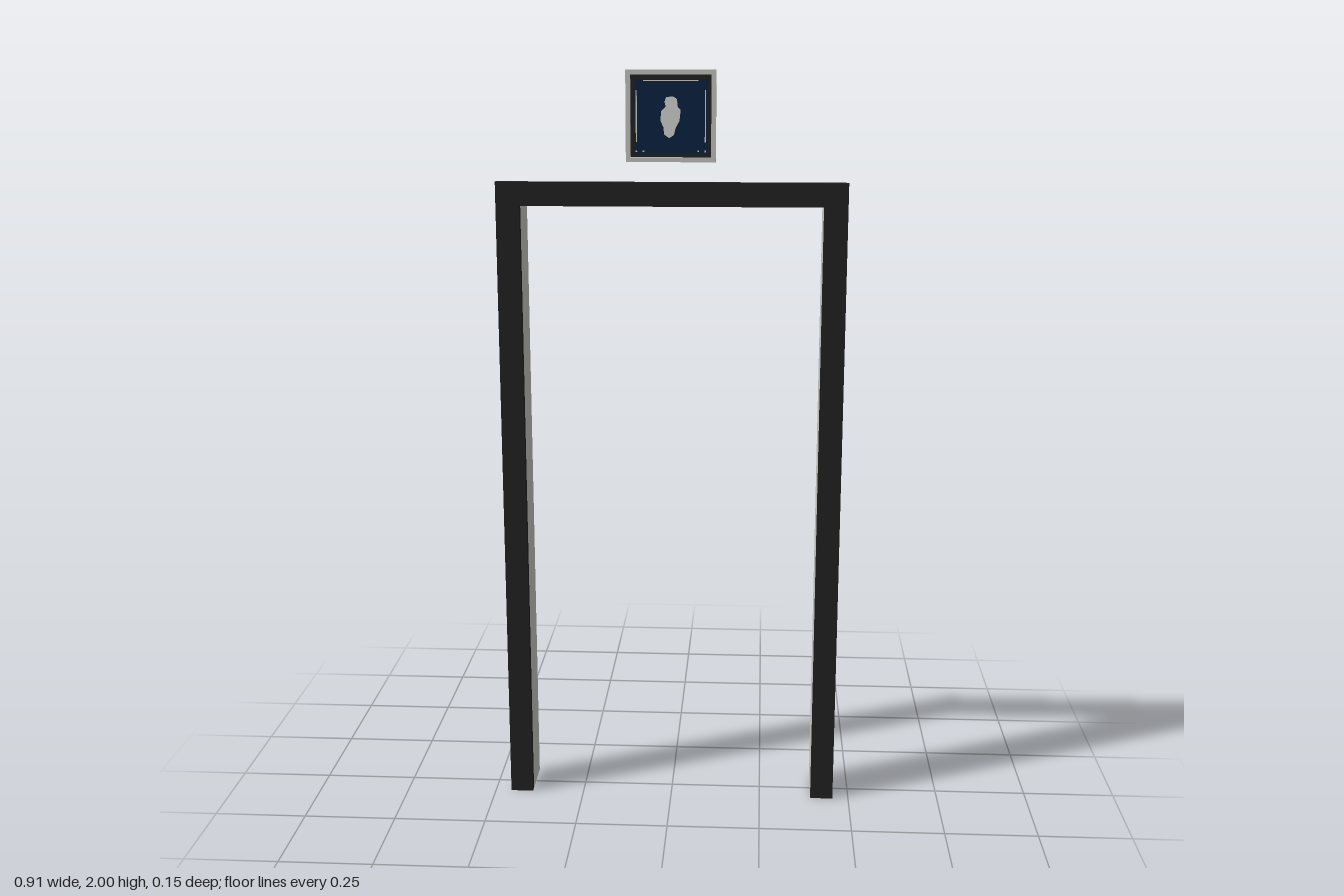
import * as THREE from 'three';

export function createModel() {
  const model = new THREE.Group();
  model.name = 'doorFrameWithSign';

  const mat = (name, color, side = THREE.FrontSide) => {
    const m = new THREE.MeshStandardMaterial({ color, side });
    m.name = name;
    return m;
  };
  const black = mat('black trim', 0x222222);
  const grey = mat('pale grey', 0xc8c8c2);
  const liner = mat('pale grey liner', 0xc8c8c2, THREE.DoubleSide);
  const blue = mat('navy blue', 0x0a2342);
  const white = mat('white', 0xd8d8d6);

  const add = (name, geometry, material, x, y, z, parent = model) => {
    const mesh = new THREE.Mesh(geometry, material);
    mesh.name = name;
    mesh.position.set(x, y, z);
    parent.add(mesh);
    return mesh;
  };
  const box = (name, material, x0, x1, y0, y1, z0, z1, parent) =>
    add(name, new THREE.BoxGeometry(x1 - x0, y1 - y0, z1 - z0), material,
      (x0 + x1) / 2, (y0 + y1) / 2, (z0 + z1) / 2, parent);

  // Door opening: half width, height, and depth of the casing
  const W = 0.394, H = 1.656, OUT = 0.456, TOP = 1.718;
  const zBack = -0.074, zTrim = 0.044, zFront = 0.063;

  // Black casing: two posts and a header
  box('rightPost', black, -OUT, -W, 0, TOP, zTrim, zFront);
  box('leftPost', black, W, OUT, 0, TOP, zTrim, zFront);
  box('header', black, -W, W, H, TOP, zTrim, zFront);

  // Thin jamb lining behind the casing
  const depth = zTrim - zBack, zMid = (zTrim + zBack) / 2;
  for (const s of [-1, 1]) {
    const jamb = add(s < 0 ? 'rightJamb' : 'leftJamb',
      new THREE.PlaneGeometry(depth, H), liner, s * W, H / 2, zMid);
    jamb.rotation.y = s * Math.PI / 2;
  }
  const head = add('headJamb', new THREE.PlaneGeometry(2 * W, depth), liner, 0, H, zMid);
  head.rotation.x = -Math.PI / 2;

  // Sign above the door
  const sign = new THREE.Group();
  sign.name = 'sign';
  sign.position.set(0, 1.885, 0);
  model.add(sign);

  const square = (Path, r) => new Path([[-r, -r], [r, -r], [r, r], [-r, r]]
    .map(([x, y]) => new THREE.Vector2(x, y)));
  const rim = square(THREE.Shape, 0.115);
  rim.holes.push(square(THREE.Path, 0.103));
  add('signRim', new THREE.ExtrudeGeometry(rim, { depth: 0.019, bevelEnabled: false }),
    grey, 0, 0, 0.052, sign);
  box('signBacking', black, -0.104, 0.104, -0.104, 0.104, 0.047, 0.062, sign);
  box('signPanel', blue, -0.092, 0.092, -0.092, 0.092, 0.062, 0.065, sign);

  // Fine border lines on the panel, with gaps at the corners
  for (const s of [-1, 1]) {
    const c = s * 0.088;
    box('borderSide', white, c - 0.0015, c + 0.0015, -0.065, 0.065, 0.065, 0.066, sign);
  }
  box('borderTop', white, -0.07, 0.07, 0.0865, 0.0895, 0.065, 0.066, sign);
  for (const x of [-0.07, -0.088, 0.07, 0.088])
    box('borderDot', white, x - 0.002, x + 0.002, -0.09, -0.086, 0.065, 0.066, sign);

  // Pale emblem in the middle
  const emblem = new THREE.Shape([
    [-0.004, -0.055], [0.008, -0.047], [0.012, -0.03], [0.022, -0.012], [0.025, 0.015],
    [0.017, 0.024], [0.016, 0.042], [0.006, 0.049], [-0.012, 0.047], [-0.016, 0.036],
    [-0.013, 0.024], [-0.025, 0.012], [-0.026, -0.012], [-0.019, -0.028], [-0.017, -0.046],
  ].map(([x, y]) => new THREE.Vector2(x, y)));
  add('emblem', new THREE.ExtrudeGeometry(emblem, { depth: 0.002, bevelEnabled: false }),
    white, 0, 0, 0.065, sign);

  return model;
}
